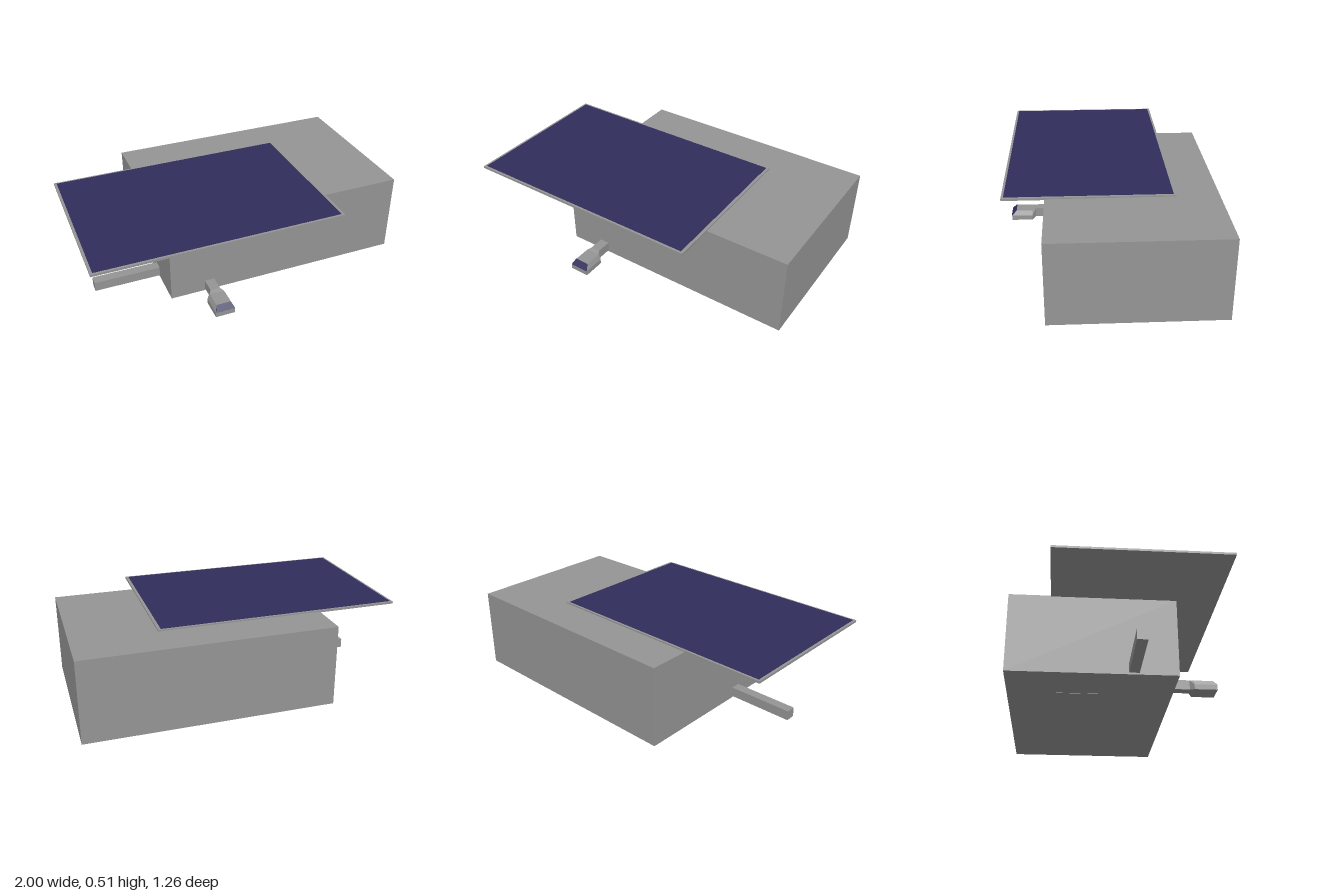
import * as THREE from 'three';
import { ConvexGeometry } from 'three/addons/geometries/ConvexGeometry.js';

const grey = new THREE.MeshStandardMaterial({ color: 0x959595 });
grey.name = 'metal grey';
const navy = new THREE.MeshStandardMaterial({ color: 0x302d5c });
navy.name = 'panel navy';

// Box given by its minimum and maximum on each axis
function box(name, material, [x0, x1], [y0, y1], [z0, z1]) {
  const mesh = new THREE.Mesh(new THREE.BoxGeometry(x1 - x0, y1 - y0, z1 - z0), material);
  mesh.position.set((x0 + x1) / 2, (y0 + y1) / 2, (z0 + z1) / 2);
  mesh.name = name;
  return mesh;
}

// Hull through mirrored sections; each row is half width, y, z
function hull(name, material, rows) {
  const points = rows.flatMap(([w, y, z]) => [new THREE.Vector3(w, y, z), new THREE.Vector3(-w, y, z)]);
  const mesh = new THREE.Mesh(new ConvexGeometry(points), material);
  mesh.name = name;
  return mesh;
}

export function createModel() {
  const model = new THREE.Group();

  // Main body with a thin rib beneath it
  model.add(box('body', grey, [-0.5, 1], [0.002, 0.5], [-0.63, 0.37]));
  model.add(box('bottomRib', grey, [-0.207, -0.202], [0, 0.004], [-0.335, -0.05]));

  // Overhanging tray and its panel face
  model.add(box('panelTray', grey, [-1, 0.5], [0.495, 0.508], [-0.38, 0.617]));
  model.add(box('panelFace', navy, [-0.985, 0.482], [0.507, 0.51], [-0.366, 0.603]));

  // Side beam
  model.add(box('sideBeam', grey, [-0.91, -0.49], [0.013, 0.073], [0.08, 0.14]));

  // Front arm with a flared neck and a sloping head
  const arm = new THREE.Group();
  arm.name = 'frontArm';
  arm.position.x = -0.255;
  arm.add(box('armBeam', grey, [-0.03, 0.03], [0.013, 0.073], [0.36, 0.466]));
  arm.add(hull('neck', grey, [
    [0.03, 0.013, 0.466], [0.03, 0.073, 0.466],
    [0.06, 0.003, 0.49], [0.06, 0.035, 0.49], [0.045, 0.066, 0.49],
  ]));
  arm.add(hull('head', grey, [
    [0.06, 0.003, 0.49], [0.06, 0.035, 0.49], [0.045, 0.066, 0.49],
    [0.045, 0.066, 0.597], [0.06, 0.035, 0.628], [0.06, 0.003, 0.628],
  ]));
  arm.add(hull('headWindow', navy, [
    [0.045, 0.066, 0.597], [0.06, 0.035, 0.628],
    [0.045, 0.068, 0.599], [0.06, 0.037, 0.63],
  ]));
  model.add(arm);

  return model;
}
